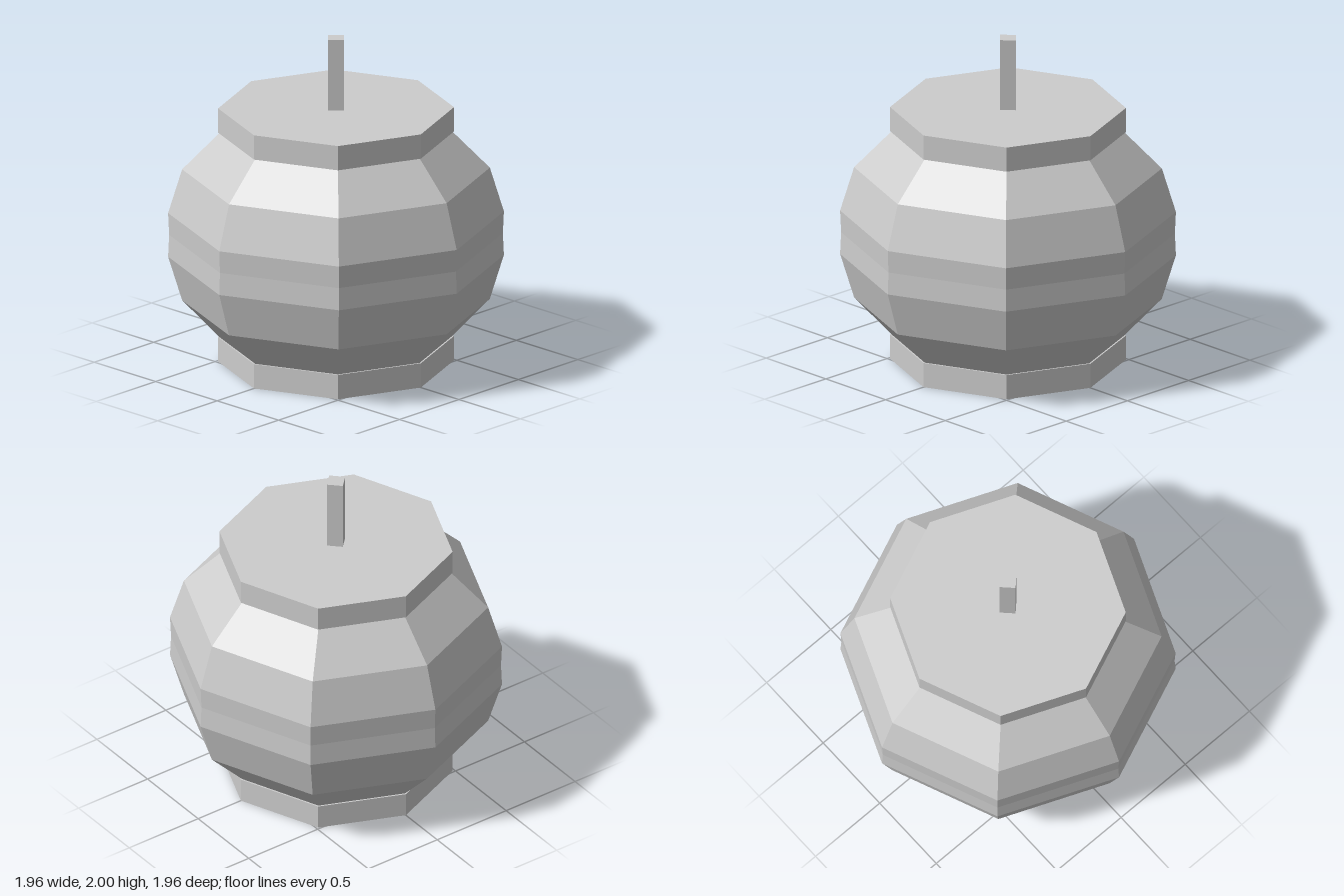
import * as THREE from 'three';

export function createModel() {
  const model = new THREE.Group();
  const grey = new THREE.MeshStandardMaterial({ color: 0xcccccc });
  grey.name = 'lightGrey';

  // Faceted mesh: unshared vertices give one normal per face
  const add = (name, geometry, y = 0) => {
    const faceted = geometry.toNonIndexed();
    faceted.computeVertexNormals();
    const mesh = new THREE.Mesh(faceted, grey);
    mesh.name = name;
    mesh.position.y = y;
    model.add(mesh);
  };

  // Eight-sided bulging body with a faint waist, its ends tucked inside the rims
  const profile = [
    [0.675, 0.145], [0.9, 0.38], [0.982, 0.65], [0.976, 0.785],
    [0.982, 0.92], [0.9, 1.19], [0.675, 1.42],
  ].map(([r, y]) => new THREE.Vector2(r, y));
  add('body', new THREE.LatheGeometry(profile, 8));

  // Matching flat rims at the foot and the top
  add('baseRim', new THREE.CylinderGeometry(0.69, 0.69, 0.15, 8), 0.075);
  add('topRim', new THREE.CylinderGeometry(0.69, 0.69, 0.15, 8), 1.49);

  // Square stem turned on its corner
  add('stem', new THREE.CylinderGeometry(0.067, 0.067, 0.44, 4), 1.78);

  return model;
}
